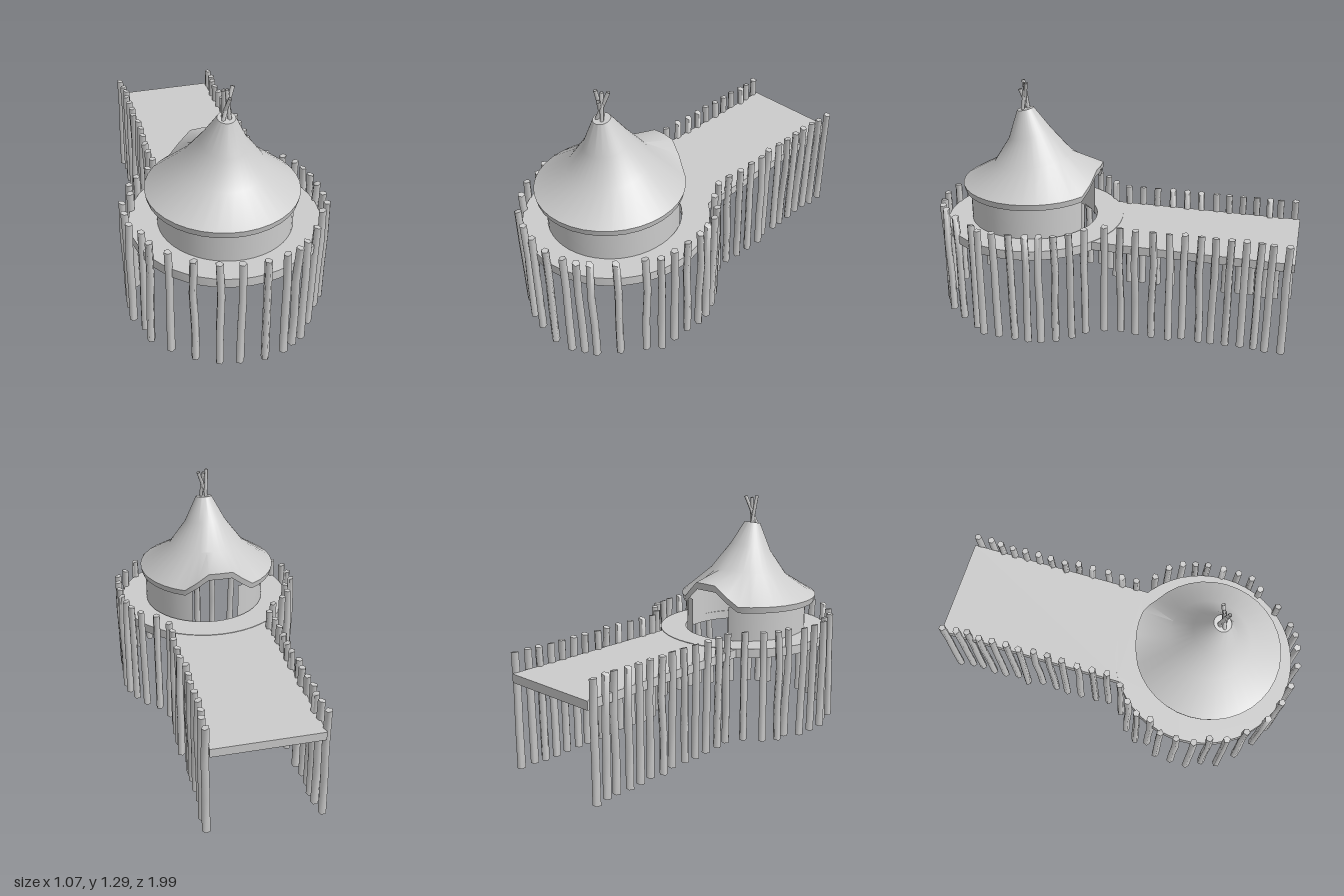
import * as THREE from 'three';
import { toCreasedNormals } from 'three/addons/utils/BufferGeometryUtils.js';

const grey = new THREE.MeshStandardMaterial({ color: 0xcccccc });
const greyDouble = new THREE.MeshStandardMaterial({ color: 0xcccccc, side: THREE.DoubleSide });

// small seeded generator, returns -1..1
let seed = 7;
function jitter() {
  seed = (seed * 16807) % 2147483647;
  return (seed / 2147483647) * 2 - 1;
}

function addMesh(parent, name, geometry, material = grey) {
  const mesh = new THREE.Mesh(geometry, material);
  mesh.name = name;
  parent.add(mesh);
  return mesh;
}

// crooked five-sided post: bent slightly above the middle
function postGeometry(x, z) {
  const g = new THREE.CylinderGeometry(0.02, 0.022, 0.62, 5, 3);
  g.rotateY(jitter() * 3);
  const [bx, bz, mx, mz, tilt] = [0, 0, 0, 0, 0].map(() => jitter());
  const p = g.attributes.position;
  for (let i = 0; i < p.count; i++) {
    const t = p.getY(i) / 0.62 + 0.5;
    const bend = Math.max(0, 1 - Math.abs(t - 0.67) * 3);
    p.setX(i, p.getX(i) + bx * 0.01 * (1 - t) + mx * 0.008 * bend);
    p.setZ(i, p.getZ(i) + bz * 0.008 * (1 - t) + mz * 0.008 * bend);
    if (t > 0.9) p.setY(i, p.getY(i) + tilt * 0.3 * p.getX(i));
  }
  g.translate(x, 0.32, z);
  return toCreasedNormals(g, 1.35);
}

// tent roof from rings: [radius, height, centre x, centre z, rise to the back, lift over the door]
function roofGeometry() {
  const rings = [
    [0.383, 0.70, -0.015, 0.475, 0, 0.105],
    [0.391, 0.735, -0.015, 0.475, 0, 0.11],
    [0.217, 0.865, -0.013, 0.475, 0.14, 0],
    [0.117, 1.0, -0.012, 0.488, 0.25, 0],
    [0.045, 1.14, -0.01, 0.508, 0.2, 0],
    [0.001, 1.14, -0.01, 0.508, 0.2, 0],
  ];
  const n = 36, pos = [], index = [];
  rings.forEach(([r, y, cx, cz, rise, lift], j) => {
    for (let i = 0; i < n; i++) {
      const a = (i / n) * Math.PI * 2;
      const fromBack = Math.abs(a - Math.PI);
      const f = 1 - THREE.MathUtils.smoothstep(fromBack, 0.14, 0.54);
      pos.push(cx + r * Math.sin(a), y - rise * r * Math.cos(a) + lift * f, cz + r * Math.cos(a));
      if (j === 0) continue;
      const k = (i + 1) % n, lo = (j - 1) * n, hi = j * n;
      index.push(lo + i, lo + k, hi + k, lo + i, hi + k, hi + i);
    }
  });
  const g = new THREE.BufferGeometry();
  g.setAttribute('position', new THREE.Float32BufferAttribute(pos, 3));
  g.setIndex(index);
  return toCreasedNormals(g, 0.75);
}

// straight stick between two points
function stickGeometry(a, b, r) {
  return new THREE.TubeGeometry(new THREE.LineCurve3(new THREE.Vector3(...a), new THREE.Vector3(...b)), 1, r, 6);
}

export function createModel() {
  const model = new THREE.Group();
  model.name = 'stiltHut';

  // round deck with an open middle
  const shape = new THREE.Shape().absarc(0, 0, 0.493, 0, Math.PI * 2);
  shape.holes.push(new THREE.Path().absarc(0, 0, 0.345, 0, Math.PI * 2, true));
  const deck = new THREE.ExtrudeGeometry(shape, { depth: 0.05, bevelEnabled: false, curveSegments: 24 });
  deck.rotateX(-Math.PI / 2).translate(0.005, 0.48, 0.46);
  addMesh(model, 'roundDeck', toCreasedNormals(deck, 0.6));

  // walkway leading to the back
  addMesh(model, 'walkway', new THREE.BoxGeometry(0.56, 0.046, 1.06).translate(0.01, 0.504, -0.47));

  // wall with a door gap at the back
  const gap = 0.39;
  const wall = new THREE.CylinderGeometry(0.347, 0.347, 0.23, 40, 1, true, Math.PI + gap, Math.PI * 2 - gap * 2);
  addMesh(model, 'wall', wall.translate(0.002, 0.605, 0.475), greyDouble);

  addMesh(model, 'roof', roofGeometry(), greyDouble);

  // crossed sticks at the peak
  const sticks = new THREE.Group();
  sticks.name = 'peakSticks';
  model.add(sticks);
  [
    [[-0.035, 1.12, 0.525], [0.025, 1.293, 0.485]],
    [[-0.018, 1.12, 0.488], [-0.03, 1.295, 0.52]],
    [[0.005, 1.12, 0.52], [-0.008, 1.285, 0.5]],
    [[-0.03, 1.12, 0.49], [0.0, 1.25, 0.53]],
  ].forEach(([a, b]) => addMesh(sticks, 'peakStick', stickGeometry(a, b, 0.01), greyDouble));

  // posts along both sides of the walkway
  const posts = new THREE.Group();
  posts.name = 'posts';
  model.add(posts);
  for (const z of [-0.97, -0.89, -0.83, -0.755, -0.68, -0.6, -0.525, -0.44, -0.36, -0.275, -0.185, -0.1, -0.015]) {
    for (const x of [-0.273, 0.298]) addMesh(posts, 'walkwayPost', postGeometry(x + jitter() * 0.008, z));
  }

  // posts around the deck, as x, z
  [
    [0.355, 0.08], [0.43, 0.14], [0.475, 0.21], [0.495, 0.28], [0.51, 0.35], [0.512, 0.44], [0.51, 0.53],
    [0.5, 0.61], [0.45, 0.67], [0.375, 0.79], [0.29, 0.88], [0.24, 0.92], [0.168, 0.945], [0.066, 0.97],
    [-0.055, 0.96], [-0.16, 0.935], [-0.27, 0.885], [-0.37, 0.79], [-0.44, 0.7], [-0.46, 0.61], [-0.505, 0.535],
    [-0.51, 0.44], [-0.505, 0.35], [-0.45, 0.28], [-0.44, 0.2], [-0.39, 0.135], [-0.315, 0.07],
  ].forEach(([x, z]) => addMesh(posts, 'deckPost', postGeometry(x, z)));

  return model;
}
